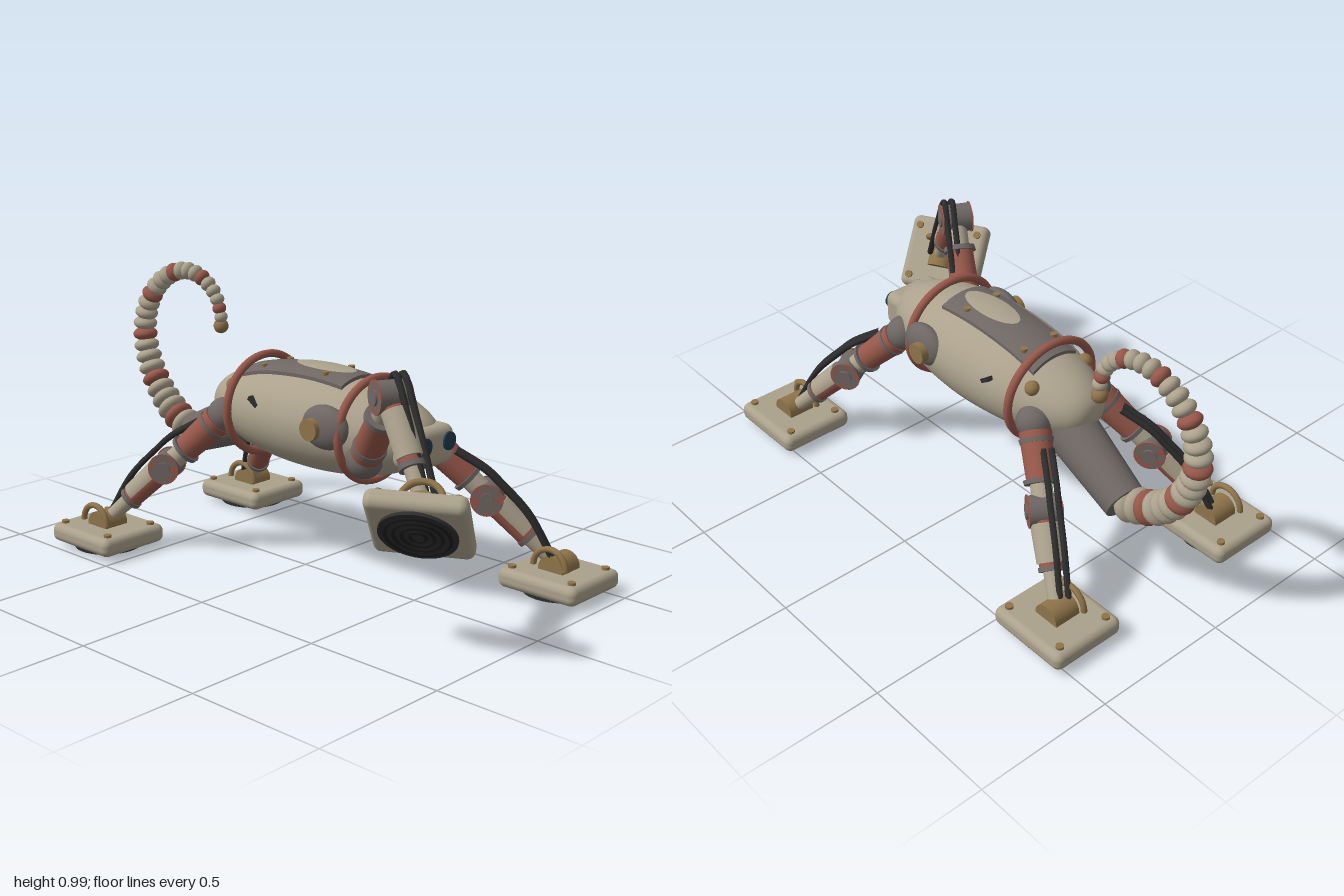
import * as THREE from 'three';
import { RoundedBoxGeometry } from 'three/addons/geometries/RoundedBoxGeometry.js';

const V = (x, y, z) => new THREE.Vector3(x, y, z);
const material = (name, color) => {
  const m = new THREE.MeshStandardMaterial({ color });
  m.name = name;
  return m;
};

export function createModel() {
  const shell = material('paleShell', 0xaba18c);
  const rust = material('rustRed', 0x96574a);
  const steel = material('warmGrey', 0x6e6764);
  const brass = material('brass', 0x8f744a);
  const rubber = material('rubber', 0x2d2d2d);
  const tread = material('tread', 0x1b1b1c);
  const lens = material('lens', 0x213b4e);

  const model = new THREE.Group();
  model.name = 'climbingRobot';
  const add = (parent, name, geo, mat, pos) => {
    const m = new THREE.Mesh(geo, mat);
    m.name = name;
    if (pos) m.position.copy(pos);
    parent.add(m);
    return m;
  };

  // Body: lathed profile laid along x, slightly flattened
  const CY = 0.547, CZ = -0.026, FLAT = 0.87;
  const profile = new THREE.SplineCurve([
    [-0.43, 0], [-0.42, 0.05], [-0.39, 0.09], [-0.33, 0.127], [-0.24, 0.16], [-0.12, 0.187], [0.05, 0.2],
    [0.2, 0.193], [0.32, 0.172], [0.42, 0.138], [0.49, 0.1], [0.53, 0.055], [0.54, 0],
  ].map(([x, r]) => new THREE.Vector2(r, x))).getPoints(60);
  profile.forEach((p) => { p.x = Math.max(p.x, 0); });
  const bodyGeo = new THREE.LatheGeometry(profile, 48);
  bodyGeo.rotateZ(-Math.PI / 2).scale(1, FLAT, 1);
  add(model, 'body', bodyGeo, shell, V(0, CY, CZ));

  const radiusAt = (x) => {
    const i = Math.max(1, profile.findIndex((p) => p.y >= x));
    const a = profile[i - 1], b = profile[i];
    return a.x + (b.x - a.x) * (x - a.y) / (b.y - a.y);
  };
  const topAt = (x, z) => CY + FLAT * Math.sqrt(Math.max(0, radiusAt(x) ** 2 - (z - CZ) ** 2));

  // Parts draped over the back
  const drape = (geo, lift) => {
    const p = geo.attributes.position;
    for (let i = 0; i < p.count; i++) p.setY(i, p.getY(i) + topAt(p.getX(i), p.getZ(i)) + lift);
    geo.computeVertexNormals();
    return geo;
  };
  add(model, 'backPlate', drape(new THREE.BoxGeometry(0.47, 0.02, 0.19, 24, 1, 10).translate(-0.005, 0, CZ), 0.002), steel);
  const oval = new THREE.RingGeometry(0, 1, 36, 5).rotateX(-Math.PI / 2).scale(0.13, 1, 0.053).translate(0.075, 0, CZ);
  add(model, 'backOval', drape(oval, 0.016), shell);
  for (const x of [-0.16, 0.13]) for (const s of [-1, 1]) {
    const z = CZ + s * 0.066;
    add(model, 'plateBolt', new THREE.CylinderGeometry(0.012, 0.012, 0.014, 12), brass, V(x, topAt(x, z) + 0.014, z));
  }

  // Body rings
  for (const x of [-0.22, 0.3]) {
    const g = new THREE.TorusGeometry(0.19, 0.015, 12, 56).rotateY(Math.PI / 2).scale(1, 0.925, 1.0);
    add(model, 'bodyRing', g, rust, V(x, 0.552, CZ));
  }

  // Side hubs, rear studs and slots, mirrored
  for (const s of [-1, 1]) {
    const hub = add(model, 'sideHub', new THREE.SphereGeometry(1, 28, 18), steel, V(0.23, 0.577, CZ + s * 0.172));
    hub.scale.set(0.098, 0.076, 0.045);
    const cap = new THREE.CylinderGeometry(0.037, 0.037, 0.05, 24).rotateX(Math.PI / 2);
    add(model, 'hubCap', cap, brass, V(0.207, 0.575, CZ + s * 0.21));
    add(model, 'rearStud', new THREE.SphereGeometry(0.026, 16, 12), brass, V(-0.26, 0.63, CZ + s * 0.118));
    const slot = add(model, 'sideSlot', new THREE.BoxGeometry(0.045, 0.014, 0.02), rubber, V(-0.1, 0.607, CZ + s * 0.177));
    slot.rotation.z = -0.6;
  }

  // Face
  add(model, 'snout', new RoundedBoxGeometry(0.11, 0.135, 0.215, 4, 0.035), shell, V(0.51, 0.535, -0.018));
  for (const s of [-1, 1]) {
    const z = -0.021 + s * 0.061;
    add(model, 'eye', new THREE.CylinderGeometry(0.031, 0.031, 0.03, 28).rotateZ(Math.PI / 2), lens, V(0.556, 0.55, z));
  }

  // Cylinder between two fractions of a line; its +z side faces up
  const link = (parent, name, a, b, t0, t1, r0, r1, mat, half = false) => {
    const y = b.clone().sub(a).normalize();
    const z = V(0, 1, 0).addScaledVector(y, -y.y).normalize();
    const len = a.distanceTo(b) * (t1 - t0);
    const g = new THREE.CylinderGeometry(r1, r0, len, half ? 14 : 24, 1, false, half ? -Math.PI / 2 : 0, half ? Math.PI : Math.PI * 2);
    const m = add(parent, name, g, mat, a.clone().lerp(b, (t0 + t1) / 2));
    m.quaternion.setFromRotationMatrix(new THREE.Matrix4().makeBasis(y.clone().cross(z), y, z));
    return m;
  };

  // Foot with round tread, corner bolts and ankle, standing on its own y = 0
  const makeFoot = () => {
    const f = new THREE.Group();
    f.name = 'foot';
    add(f, 'footPlate', new RoundedBoxGeometry(0.315, 0.068, 0.283, 4, 0.027), shell, V(0, 0.05, 0));
    add(f, 'solePad', new THREE.CylinderGeometry(0.122, 0.122, 0.014, 40), rubber, V(0, 0.012, 0));
    for (const r of [0.025, 0.05, 0.075, 0.1]) {
      add(f, 'treadRing', new THREE.TorusGeometry(r, 0.007, 6, 36).rotateX(Math.PI / 2), tread, V(0, 0.007, 0));
    }
    for (const x of [-1, 1]) for (const z of [-1, 1]) {
      add(f, 'footBolt', new THREE.CylinderGeometry(0.014, 0.014, 0.016, 12), brass, V(x * 0.12, 0.085, z * 0.1));
    }
    add(f, 'ankleBarrel', new THREE.CylinderGeometry(0.05, 0.05, 0.1, 24).rotateX(Math.PI / 2), brass, V(0, 0.088, 0));
    add(f, 'ankleArc', new THREE.TorusGeometry(0.065, 0.011, 10, 24, Math.PI), brass, V(0, 0.1, 0.056));
    return f;
  };

  const makeLeg = (name, hip, knee, ankle) => {
    const g = new THREE.Group();
    g.name = name;
    model.add(g);
    add(g, 'hipJoint', new THREE.SphereGeometry(0.062, 22, 16), steel, hip);
    link(g, 'thighRod', hip, knee, 0.6, 1, 0.037, 0.037, shell);
    link(g, 'thigh', hip, knee, 0.12, 0.66, 0.056, 0.048, rust);
    for (const t of [0.2, 0.66]) link(g, 'thighCollar', hip, knee, t, t + 0.05, 0.059, 0.056, steel);

    // Knee barrel turned across the leg
    const flat = ankle.clone().sub(hip).setY(0).normalize();
    const axis = V(-flat.z, 0, flat.x);
    const a = knee.clone().addScaledVector(axis, -0.055), b = knee.clone().addScaledVector(axis, 0.055);
    link(g, 'kneeBarrel', a, b, 0, 1, 0.052, 0.052, steel);
    for (const t of [0, 0.96]) link(g, 'kneeRim', a, b, t, t + 0.04, 0.056, 0.056, rust);
    link(g, 'kneePin', a, b, -0.06, 1.06, 0.026, 0.026, steel);

    // Shin: red tube under a pale half shell, then a thin rod
    link(g, 'shin', knee, ankle, 0.12, 0.66, 0.043, 0.039, rust);
    link(g, 'shinCover', knee, ankle, 0.15, 0.58, 0.052, 0.047, shell, true);
    link(g, 'shinCollar', knee, ankle, 0.62, 0.67, 0.044, 0.044, steel);
    link(g, 'shinRod', knee, ankle, 0.6, 1, 0.03, 0.025, shell);

    // Twin cables arching over the knee
    const line = ankle.clone().sub(hip).normalize();
    const up = V(0, 1, 0).addScaledVector(line, -line.y).normalize();
    const side = axis.clone().multiplyScalar(Math.sign(axis.x * hip.x) || 1);
    for (const off of [0.012, 0.04]) {
      const at = (p, lift) => p.clone().addScaledVector(up, lift).addScaledVector(side, off);
      const path = new THREE.CatmullRomCurve3([
        at(hip.clone().lerp(knee, 0.35), 0.045), at(hip.clone().lerp(knee, 0.75), 0.07), at(knee, 0.07),
        at(knee.clone().lerp(ankle, 0.45), 0.062), at(ankle, 0.012),
      ]);
      add(g, 'cable', new THREE.TubeGeometry(path, 36, 0.011, 8), rubber);
    }
    const foot = makeFoot();
    g.add(foot);
    return foot;
  };

  // Three standing legs
  for (const [name, x, s] of [['rearRightLeg', -1, 1], ['rearLeftLeg', -1, -1], ['frontLeftLeg', 1, -1]]) {
    const px = (d) => (x < 0 ? -d : d + 0.115);
    const pz = (d) => CZ + s * d;
    const foot = makeLeg(name, V(px(0.29), 0.52, pz(0.135)), V(px(0.47), 0.32, pz(0.252)), V(px(0.655), 0.115, pz(0.365)));
    foot.position.set(x < 0 ? -0.67 : 0.8, 0, pz(0.372));
  }

  // Raised leg, its sole turned outward
  const fx = V(0.888, 0, -0.461), fz = V(0.307, 0.768, 0.563);
  const fy = fz.clone().cross(fx).normalize();
  const sole = V(0.82, 0.435, 0.37).addScaledVector(fy, -0.05);
  const raised = makeLeg('raisedFrontLeg', V(0.37, 0.485, 0.11), V(0.585, 0.76, 0.235), sole.clone().addScaledVector(fy, 0.115));
  raised.position.copy(sole);
  raised.quaternion.setFromRotationMatrix(new THREE.Matrix4().makeBasis(fx, fy, fz));

  // Tail: tapered sleeve, then shrinking beads along a curl
  link(model, 'tailSleeve', V(-0.22, 0.52, -0.035), V(-0.64, 0.35, -0.078), 0, 1, 0.1, 0.073, steel);
  const curl = new THREE.CatmullRomCurve3([
    [-0.66, 0.355], [-0.74, 0.392], [-0.82, 0.45], [-0.9, 0.55], [-0.945, 0.68], [-0.935, 0.79], [-0.87, 0.89],
    [-0.78, 0.945], [-0.7, 0.955], [-0.63, 0.93], [-0.575, 0.875], [-0.555, 0.8],
  ].map(([x, y], i) => V(x, y, -0.075 - i * 0.005)));
  const N = 28;
  for (let i = 0; i < N; i++) {
    const u = i / (N - 1), t = u * (1.2 - 0.2 * u);
    const r = 0.063 - 0.038 * t;
    const bead = add(model, 'tailBead', new THREE.SphereGeometry(1, 20, 12), i % 4 === 2 ? rust : shell, curl.getPointAt(t));
    bead.scale.set(r, 0.031 - 0.009 * t, r);
    bead.quaternion.setFromUnitVectors(V(0, 1, 0), curl.getTangentAt(t));
  }
  add(model, 'tailTip', new THREE.SphereGeometry(0.028, 18, 14), brass, V(-0.56, 0.765, -0.134));

  return model;
}
